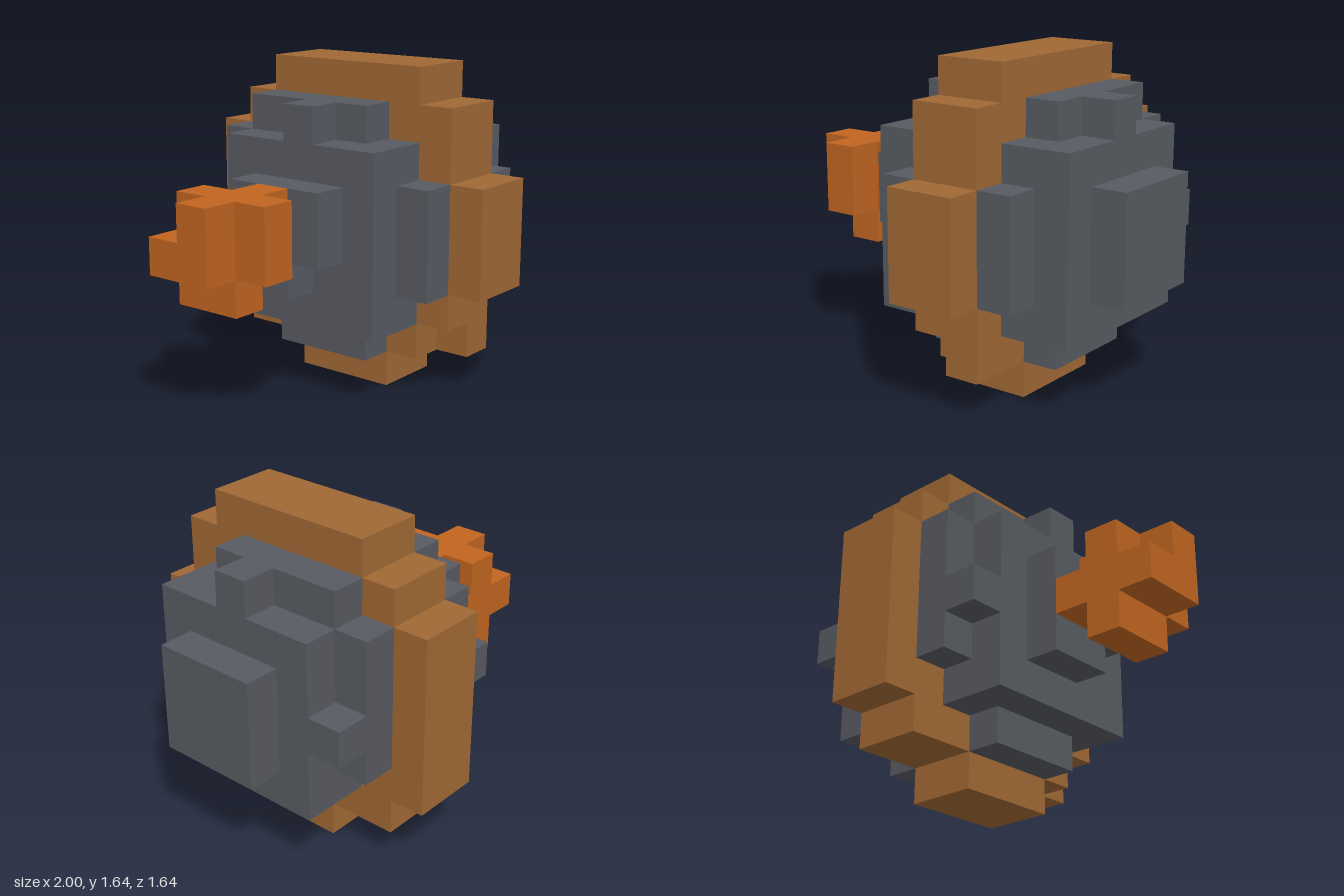
import * as THREE from 'three';

const U = 2 / 11; // edge of one block

export function createModel() {
  const model = new THREE.Group();
  const mat = (name, color) => {
    const m = new THREE.MeshStandardMaterial({ color });
    m.name = name;
    return m;
  };
  const brown = mat('brown', 0xa06835);
  const grey = mat('slateGrey', 0x575a61);
  const orange = mat('orange', 0xc06420);

  // A box spanning grid lines x0..x1, y0..y1, z0..z1 (11 x 9 x 9 blocks)
  const box = (parent, material, [x0, x1], [y0, y1], [z0, z1]) => {
    const mesh = new THREE.Mesh(
      new THREE.BoxGeometry((x1 - x0) * U, (y1 - y0) * U, (z1 - z0) * U), material);
    mesh.position.set(((x0 + x1) / 2 - 5.5) * U, ((y0 + y1) / 2) * U, ((z0 + z1) / 2 - 4.5) * U);
    mesh.name = parent.name + 'Block';
    parent.add(mesh);
  };
  const part = (name) => {
    const g = new THREE.Group();
    g.name = name;
    model.add(g);
    return g;
  };

  // Rim: two blocks wide, stacked rows of [yRange, zRange]
  const rim = part('rim');
  [[[0, 1], [3, 6]], [[1, 2], [1, 7]], [[2, 3], [0, 8]], [[3, 6], [0, 9]],
    [[6, 7], [0, 8]], [[7, 8], [1, 8]], [[8, 9], [2, 7]]]
    .forEach(([y, z]) => box(rim, brown, [6, 8], y, z));
  box(rim, brown, [7, 8], [1, 2], [7, 8]);

  // Stepped grey discs on both sides of the rim
  for (const [side, inner, outer] of [['left', 8, 9], ['right', 5, 4]]) {
    const disc = part(side + 'Disc');
    [[[1, 2], [3, 6]], [[2, 3], [2, 7]], [[3, 6], [1, 8]], [[6, 7], [1, 7]], [[7, 8], [2, 6]]]
      .forEach(([y, z]) => box(disc, grey, [inner, inner + 1], y, z));
    const face = part(side + 'Face');
    const x = [outer, outer + 1];
    box(face, grey, x, [2, 7], [2, 7]);
    box(face, grey, x, [7, 8], [4, 5]); // top nub
    box(face, grey, x, [4, 5], [1, 2]); // rear nub
  }

  // Hub plates
  box(part('leftHub'), grey, [10, 11], [3, 6], [3, 6]);
  const rightHub = part('rightHub');
  box(rightHub, grey, [3, 4], [4, 6], [3, 6]);
  box(rightHub, grey, [3, 4], [3, 4], [3, 5]);

  // Orange knob on the right hub
  const knob = part('knob');
  box(knob, orange, [0, 3], [4, 5], [3, 5]);
  box(knob, orange, [0, 3], [5, 6], [4, 5]);
  box(knob, orange, [1, 2], [5, 6], [3, 4]);
  box(knob, orange, [1, 2], [4, 6], [5, 6]);
  box(knob, orange, [1, 2], [3, 4], [3, 5]);

  return model;
}
